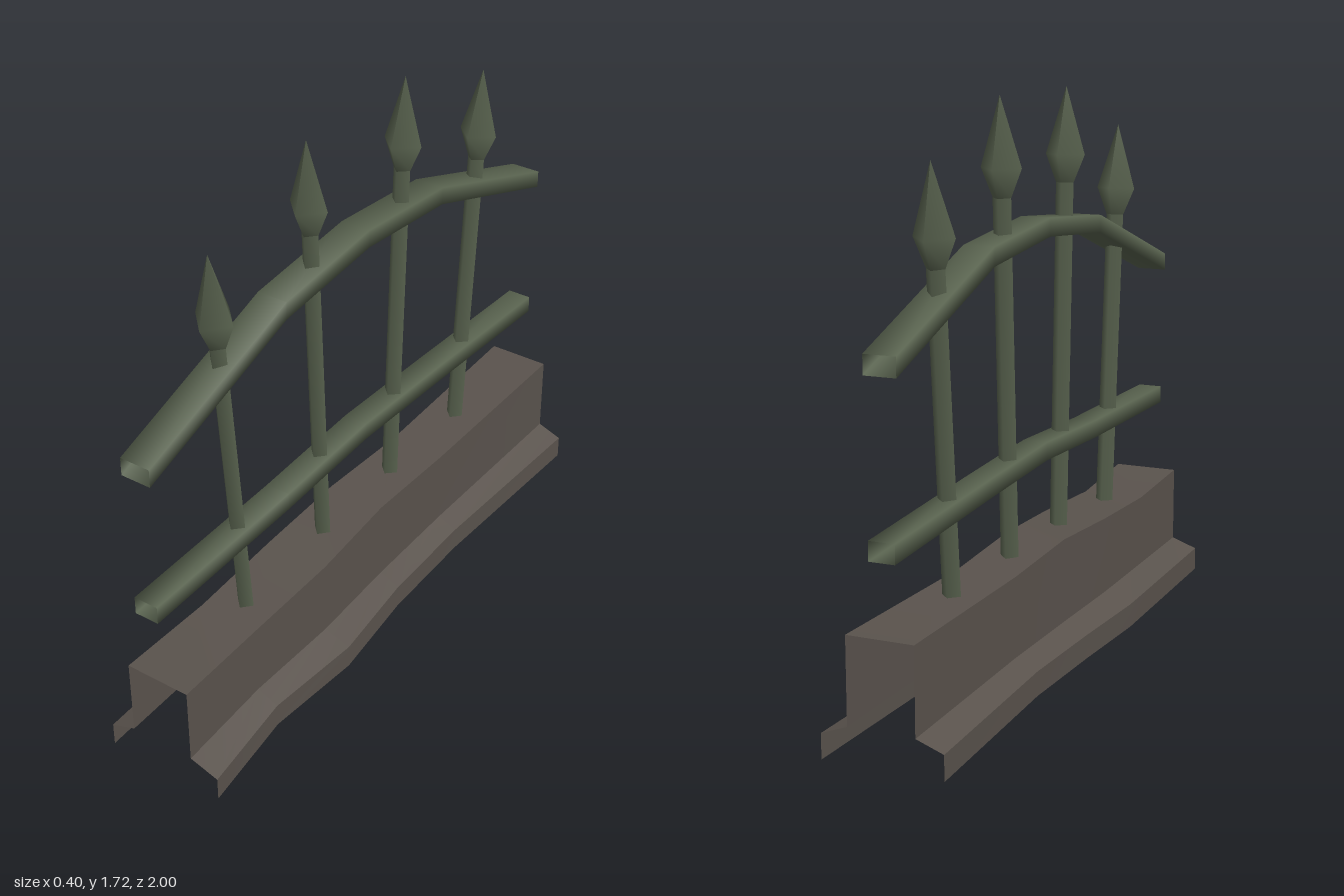
import * as THREE from 'three';

// Surface through rows of equally long point lists, smooth inside the strip
function loft(rows) {
  const n = rows[0].length, index = [];
  for (let i = 0; i < rows.length - 1; i++) {
    for (let j = 0; j < n - 1; j++) {
      const a = i * n + j, b = a + 1, c = a + n, d = c + 1;
      index.push(a, c, b, b, c, d);
    }
  }
  const g = new THREE.BufferGeometry();
  g.setAttribute('position', new THREE.Float32BufferAttribute(rows.flat(2), 3));
  g.setIndex(index);
  g.computeVertexNormals();
  return g;
}

export function createModel() {
  const model = new THREE.Group();
  const iron = new THREE.MeshStandardMaterial({ color: 0x59634f, side: THREE.DoubleSide });
  iron.name = 'green iron';
  const stone = new THREE.MeshStandardMaterial({ color: 0x5a534d, side: THREE.DoubleSide });
  stone.name = 'brown stone';
  const add = (parent, name, geometry, material) => {
    const mesh = new THREE.Mesh(geometry, material);
    mesh.name = name;
    parent.add(mesh);
    return mesh;
  };

  // Hollow stone base: z, left edge, right edge, top height of each section
  const sections = [
    [-1, -0.188, 0.176, 0.36], [-0.35, -0.167, 0.15, 0.35], [0, -0.18, 0.156, 0.367],
    [0.32, -0.198, 0.188, 0.35], [0.65, -0.193, 0.16, 0.335], [0.985, -0.188, 0.198, 0.35],
  ].map(([z, l, r, top]) => {
    const wl = -0.104 + (l + 0.185) * 0.4, wr = 0.096 + (r - 0.175) * 0.35;
    return [
      [r, 0, z], [r, 0.075, z], [wr, 0.105, z], [wr, top, z],
      [wl, top, z], [wl, 0.105, z], [l, 0.075, z], [l, 0, z],
    ];
  });
  const base = new THREE.Group();
  base.name = 'base';
  model.add(base);
  ['footRight', 'ledgeRight', 'wallRight', 'baseTop', 'wallLeft', 'ledgeLeft', 'footLeft']
    .forEach((name, j) => add(base, name, loft(sections.map(s => [s[j], s[j + 1]])), stone));

  // Bent rails with a rectangular section and open ends
  const cx = -0.007;
  const rail = (name, width, height, path) => {
    const w = width / 2, h = height / 2;
    const rows = path.map(([z, y]) => [
      [cx + w, y - h, z], [cx + w, y + h, z], [cx - w, y + h, z], [cx - w, y - h, z],
    ]);
    const g = loft(rows.map(r => [...r, r[0]]));
    // Average the normals along the seam
    const nor = g.attributes.normal, v = new THREE.Vector3(), u = new THREE.Vector3();
    for (let i = 0; i < rows.length; i++) {
      v.fromBufferAttribute(nor, i * 5).add(u.fromBufferAttribute(nor, i * 5 + 4)).normalize();
      nor.setXYZ(i * 5, v.x, v.y, v.z);
      nor.setXYZ(i * 5 + 4, v.x, v.y, v.z);
    }
    add(model, name, g, iron);
  };
  rail('upperRail', 0.096, 0.056,
    [[-0.98, 1.078], [-0.39, 1.28], [0, 1.316], [0.4, 1.28], [1, 1.08]]);
  rail('lowerRail', 0.078, 0.056,
    [[-0.985, 0.59], [-0.4, 0.62], [0, 0.637], [0.4, 0.621], [1, 0.613]]);

  // Leaning four-sided pickets with spear heads: bottom z, y and tip z, y
  [
    [0.57, 0.335, 0.667, 1.57], [0.18, 0.35, 0.233, 1.715],
    [-0.19, 0.345, -0.25, 1.715], [-0.58, 0.34, -0.683, 1.57],
  ].forEach(([z0, y0, z1, y1]) => {
    const picket = new THREE.Group();
    picket.name = 'picket';
    picket.position.set(cx, y0, z0);
    picket.rotation.x = Math.atan2(z1 - z0, y1 - y0);
    model.add(picket);
    const length = Math.hypot(z1 - z0, y1 - y0), neck = length - 0.29;
    const shaft = new THREE.CylinderGeometry(0.029, 0.029, neck, 4, 1, true);
    add(picket, 'shaft', shaft.translate(0, neck / 2, 0), iron);
    const profile = [[0.029, neck], [0.064, length - 0.205], [0, length]]
      .map(([r, y]) => new THREE.Vector2(r, y));
    add(picket, 'spearHead', new THREE.LatheGeometry(profile, 4), iron);
  });
  return model;
}
